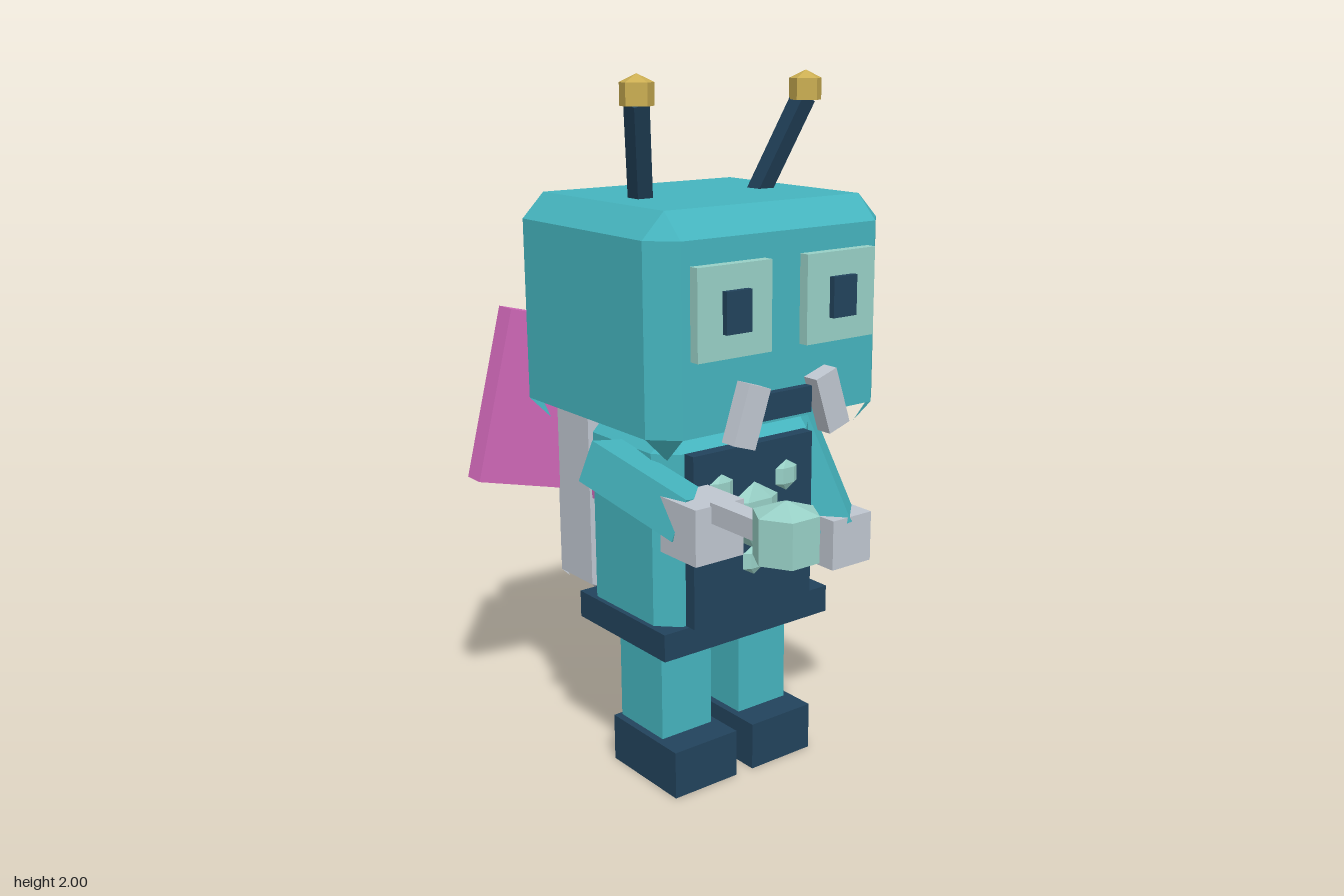
import * as THREE from 'three';

const mat = (name, color) => {
  const m = new THREE.MeshStandardMaterial({ color, flatShading: true, side: THREE.DoubleSide });
  m.name = name;
  return m;
};

// Box whose underside can be left open
function boxGeo(w, h, d, open = false) {
  const g = new THREE.BoxGeometry(w, h, d);
  if (open) {
    const idx = Array.from(g.index.array);
    idx.splice(18, 6);
    g.setIndex(idx);
    g.clearGroups();
  }
  return g;
}

// Bevelled shell with an open underside; corner bevels end in small points
function shellGeo(w, h, d, c) {
  const x = w / 2, y = h / 2, z = d / 2, ring = [], inner = [], pos = [];
  [[1, 1], [1, -1], [-1, -1], [-1, 1]].forEach(([sx, sz], k) => {
    const pair = [[sx * (x - c), sz * z], [sx * x, sz * (z - c)]];
    if (k % 2) pair.reverse();
    ring.push(...pair);
    const p = [sx * (x - c), sz * (z - c)];
    inner.push(p, p);
  });
  const at = (p, py) => [p[0], py, p[1]];
  const tri = (a, b, e) => pos.push(...a, ...b, ...e);
  const quad = (a, b, e, f) => { tri(a, b, e); tri(a, e, f); };
  for (let i = 0; i < 8; i++) {
    const j = (i + 1) % 8;
    const lo = at(ring[i], c - y), lo2 = at(ring[j], c - y);
    const hi = at(ring[i], y - c), hi2 = at(ring[j], y - c);
    quad(lo, lo2, hi2, hi);
    if (i % 2) quad(hi, hi2, at(inner[j], y), at(inner[i], y));
    else {
      tri(hi, hi2, at(inner[i], y));
      tri(at(inner[i], -y), lo2, lo);
    }
  }
  quad(at(inner[0], y), at(inner[2], y), at(inner[4], y), at(inner[6], y));
  const g = new THREE.BufferGeometry();
  g.setAttribute('position', new THREE.Float32BufferAttribute(pos, 3));
  g.computeVertexNormals();
  return g;
}

// Faceted knob with a shallow pointed cap
function knobGeo(r, h, cap, sides) {
  const pts = [[0, -h / 2], [r, -h / 2], [r, h / 2 - cap], [0, h / 2]];
  return new THREE.LatheGeometry(pts.map(p => new THREE.Vector2(...p)), sides);
}

export function createModel() {
  const root = new THREE.Group();
  root.name = 'robot';
  const teal = mat('teal', 0x45b4be), navy = mat('navy', 0x22435c), grey = mat('grey', 0xbfc6d0);
  const mint = mat('mint', 0x98d0c6), pink = mat('pink', 0xd068b8), gold = mat('gold', 0xcbae52);

  const add = (name, geo, m, x, y, z, parent = root) => {
    const mesh = new THREE.Mesh(geo, m);
    mesh.name = name;
    mesh.position.set(x, y, z);
    parent.add(mesh);
    return mesh;
  };
  // Box given by its lower and upper corners
  const span = (name, m, [x0, y0, z0], [x1, y1, z1], open) =>
    add(name, boxGeo(x1 - x0, y1 - y0, z1 - z0, open), m, (x0 + x1) / 2, (y0 + y1) / 2, (z0 + z1) / 2);
  // Square bar running between two points
  const bar = (name, m, a, b, w, d) => {
    const p = new THREE.Vector3(...a), q = new THREE.Vector3(...b), dir = q.clone().sub(p);
    const mid = p.clone().add(q).multiplyScalar(0.5);
    const mesh = add(name, boxGeo(w, dir.length(), d), m, mid.x, mid.y, mid.z);
    mesh.quaternion.setFromUnitVectors(new THREE.Vector3(0, 1, 0), dir.normalize());
    return mesh;
  };
  // Cluster of flattened studs
  const emblem = (name, z) => {
    const g = new THREE.Group();
    g.name = name;
    g.position.z = z;
    root.add(g);
    for (const [x, y, r] of [[0, 0.81, 0.097], [0.115, 0.905, 0.045], [-0.115, 0.905, 0.045], [0, 0.68, 0.045]]) {
      const stud = add('stud', new THREE.SphereGeometry(r, 6, 3), mint, x, y, 0, g);
      stud.scale.z = 0.35;
    }
  };

  // Head and body shells
  add('head', shellGeo(0.79, 0.64, 0.7, 0.068), teal, 0, 1.357, -0.15);
  add('body', shellGeo(0.56, 0.64, 0.395, 0.057), teal, 0, 0.752, -0.148);
  span('belt', navy, [-0.295, 0.44, -0.355], [0.295, 0.52, 0.065], true);
  span('chestPanel', navy, [-0.21, 0.52, 0.045], [0.21, 1.015, 0.088]);
  emblem('chestEmblem', 0.088);
  span('mouth', navy, [-0.085, 1.12, 0.2], [0.085, 1.192, 0.225]);

  // Backpack
  add('backpack', shellGeo(0.48, 0.585, 0.225, 0.028), grey, 0, 0.783, -0.46);
  span('backPlate', mint, [-0.2, 0.545, -0.592], [0.2, 1.01, -0.57]);
  span('backpackMount', pink, [-0.235, 0.79, -0.372], [0.235, 0.93, -0.346]);
  emblem('backEmblem', -0.592);

  // Mirrored parts
  for (const s of [1, -1]) {
    span('leg', teal, [s * 0.14 - 0.088, 0.14, -0.25], [s * 0.14 + 0.088, 0.425, -0.045], true);
    span('foot', navy, [s * 0.14 - 0.11, 0, -0.26], [s * 0.14 + 0.11, 0.142, 0.047], true);
    span('eye', mint, [s * 0.18 - 0.12, 1.305, 0.198], [s * 0.18 + 0.12, 1.545, 0.23]);
    span('pupil', navy, [s * 0.18 - 0.041, 1.37, 0.22], [s * 0.18 + 0.041, 1.48, 0.247]);

    const tusk = add('tusk', boxGeo(0.075, 0.165, 0.05), grey, s * 0.14, 1.146, 0.225);
    tusk.rotation.z = s * 0.32;

    bar('antenna', navy, [s * 0.195, 1.64, -0.155], [s * 0.28, 1.93, -0.045], 0.048, 0.048);
    add('antennaTip', knobGeo(0.047, 0.08, 0.022, 5), gold, s * 0.282, 1.96, -0.04);

    const wing = new THREE.Group();
    wing.name = s > 0 ? 'leftWing' : 'rightWing';
    wing.position.set(s * 0.308, 1.06, -0.573);
    wing.rotation.z = s * 0.255;
    root.add(wing);
    add('wingPanel', boxGeo(0.284, 0.507, 0.068), pink, 0, 0, 0, wing);
    add('wingPatch', boxGeo(0.115, 0.115, 0.03), mint, 0, 0, -0.043, wing);
  }

  // Lowered left arm
  bar('leftArm', teal, [0.33, 1.0, -0.15], [0.388, 0.67, 0], 0.12, 0.12);
  span('leftHand', grey, [0.318, 0.562, -0.085], [0.47, 0.716, 0.068], true);

  // Raised right arm with a wand
  bar('rightArm', teal, [-0.36, 0.985, -0.13], [-0.295, 0.89, 0.2], 0.12, 0.12);
  span('rightHand', grey, [-0.36, 0.8, 0.143], [-0.205, 0.952, 0.295], true);
  span('wandRod', grey, [-0.31, 0.907, 0.29], [-0.255, 0.962, 0.5]);
  const orb = add('wandOrb', knobGeo(0.085, 0.147, 0.03, 6), mint, -0.285, 0.957, 0.554);
  orb.rotation.y = Math.PI / 2;

  return root;
}
